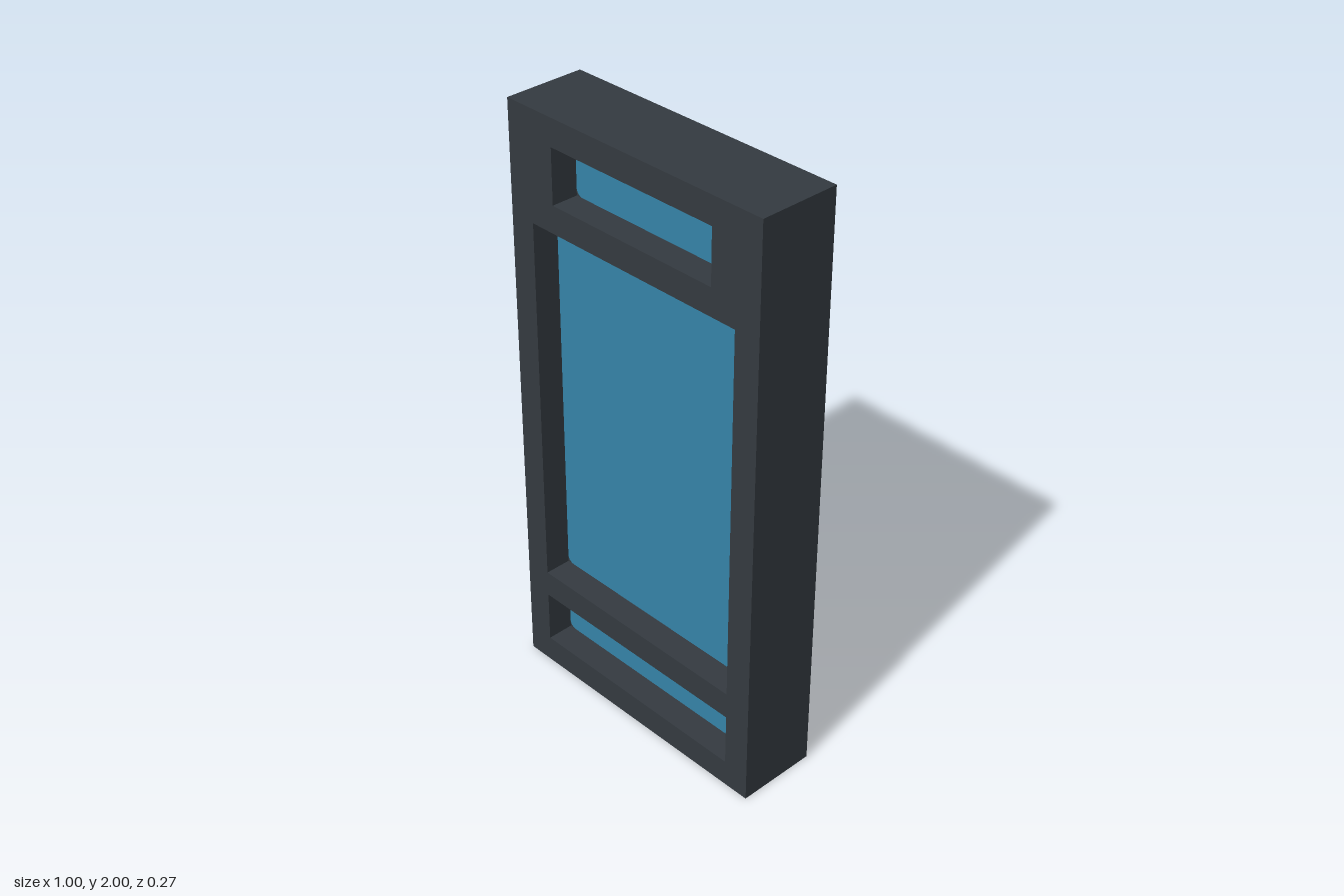
import * as THREE from 'three';

const U = 1 / 22; // design module: 22 wide, 44 high, 6 deep
const FRAME = { x: 11 * U, y0: 0, y1: 44 * U };
const BACK = -3 * U, RECESS = 1 * U, FRONT = 3 * U;
const CORNER = 0.025;

// Half width, bottom and top of each opening
const OPENINGS = [
  { name: 'topPanel', x: 7 * U, y0: 38 * U, y1: 42 * U },
  { name: 'mainPanel', x: 9 * U, y0: 8 * U, y1: 36 * U },
  { name: 'bottomPanel', x: 9 * U, y0: 2 * U, y1: 6 * U },
];

// Rectangle with optional rounded corners, drawn into a Shape or Path
function trace(path, { x, y0, y1 }, r = 0) {
  path.moveTo(-x + r, y0);
  path.lineTo(x - r, y0);
  if (r) path.absarc(x - r, y0 + r, r, -Math.PI / 2, 0);
  else path.lineTo(x, y0);
  path.lineTo(x, y1 - r);
  if (r) path.absarc(x - r, y1 - r, r, 0, Math.PI / 2);
  path.lineTo(-x + r, y1);
  if (r) path.absarc(-x + r, y1 - r, r, Math.PI / 2, Math.PI);
  path.lineTo(-x, y0 + r);
  if (r) path.absarc(-x + r, y0 + r, r, Math.PI, Math.PI * 1.5);
  return path;
}

function slab(name, shape, z0, z1, material) {
  const geometry = new THREE.ExtrudeGeometry(shape, {
    depth: z1 - z0, bevelEnabled: false, curveSegments: 6,
  });
  geometry.translate(0, 0, z0);
  const mesh = new THREE.Mesh(geometry, material);
  mesh.name = name;
  return mesh;
}

function frameShape(radius) {
  const shape = trace(new THREE.Shape(), FRAME);
  for (const o of OPENINGS) shape.holes.push(trace(new THREE.Path(), o, radius));
  return shape;
}

export function createModel() {
  const group = new THREE.Group();
  group.name = 'panelledDoor';
  const charcoal = new THREE.MeshStandardMaterial({ color: 0x343a40 });
  charcoal.name = 'charcoal frame';
  const blue = new THREE.MeshStandardMaterial({ color: 0x3584a8 });
  blue.name = 'blue panel';

  // Frame: square openings in front, rounded sockets behind
  group.add(slab('frontFrame', frameShape(0), RECESS, FRONT, charcoal));
  group.add(slab('rearFrame', frameShape(CORNER), BACK, RECESS, charcoal));

  // Panels: recessed at the front, flush at the back
  for (const o of OPENINGS) {
    group.add(slab(o.name, trace(new THREE.Shape(), o, CORNER), BACK, RECESS, blue));
  }
  return group;
}
